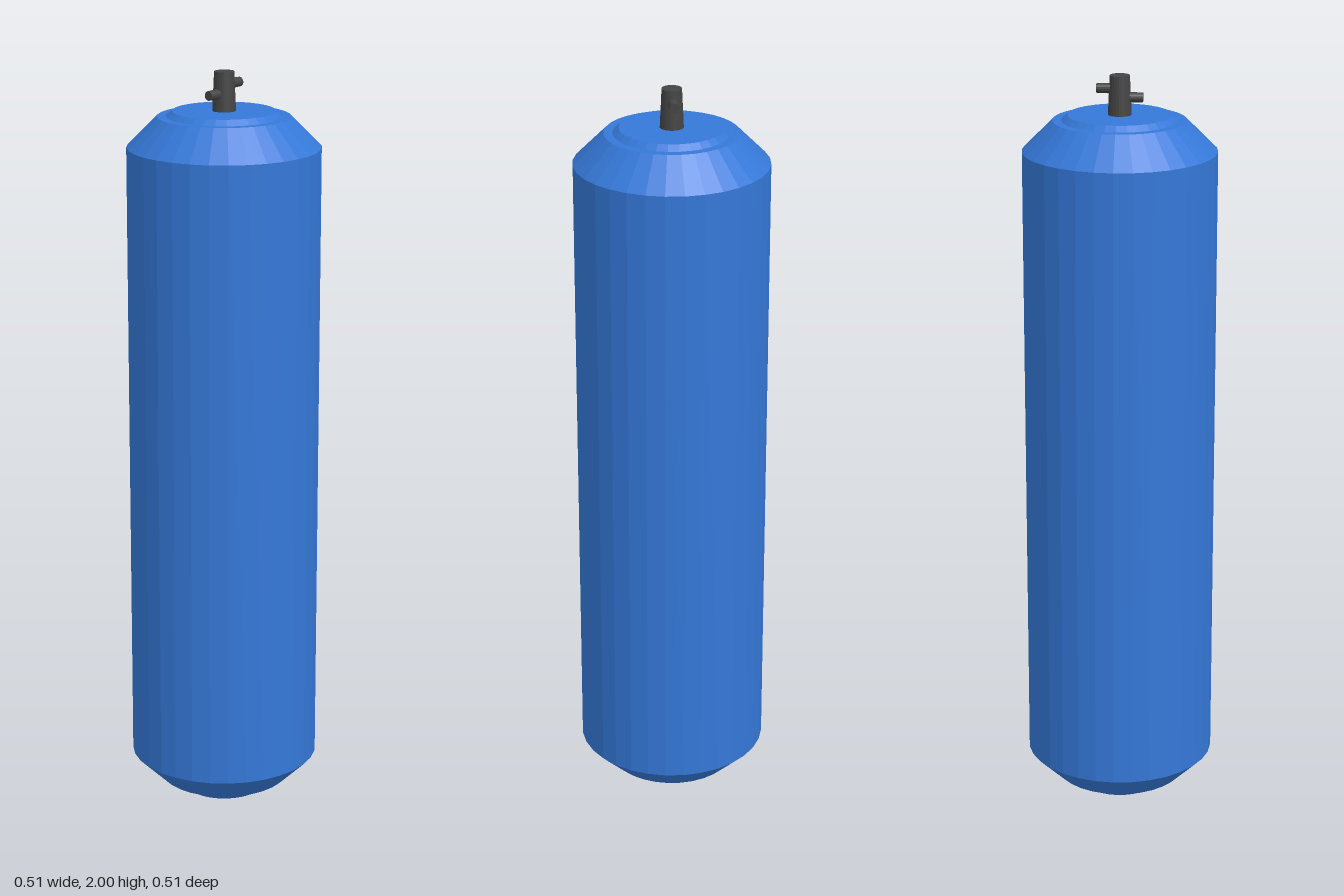
import * as THREE from 'three';

const SIDES = 32;

export function createModel() {
  const model = new THREE.Group();
  const blue = new THREE.MeshStandardMaterial({ color: 0x3578d8, flatShading: true });
  const dark = new THREE.MeshStandardMaterial({ color: 0x444444, flatShading: true });

  function add(name, geometry, material, parent = model) {
    const mesh = new THREE.Mesh(geometry, material);
    mesh.name = name;
    parent.add(mesh);
    return mesh;
  }

  // Tank body: one closed profile with chamfered shoulders, foot and cap
  const profile = [
    [0, 0], [0.113, 0], [0.147, 0.036], [0.177, 0.036], [0.254, 0.112],
    [0.254, 1.804], [0.174, 1.884], [0.151, 1.884], [0.135, 1.898], [0, 1.898],
  ].map(([r, y]) => new THREE.Vector2(r, y));
  add('tank', new THREE.LatheGeometry(profile, SIDES), blue);

  // Valve: slightly tapered stem with two staggered side pegs
  const valve = new THREE.Group();
  valve.name = 'valve';
  model.add(valve);
  const stem = add('valveStem', new THREE.CylinderGeometry(0.026, 0.031, 0.106, 24), dark, valve);
  stem.position.y = 1.947;

  for (const [name, side, y] of [['leftPeg', 1, 1.966], ['rightPeg', -1, 1.943]]) {
    const peg = add(name, new THREE.CylinderGeometry(0.0125, 0.0145, 0.059, 16), dark, valve);
    peg.rotation.z = -side * Math.PI / 2;
    peg.position.set(side * 0.0305, y, 0);
  }

  return model;
}
